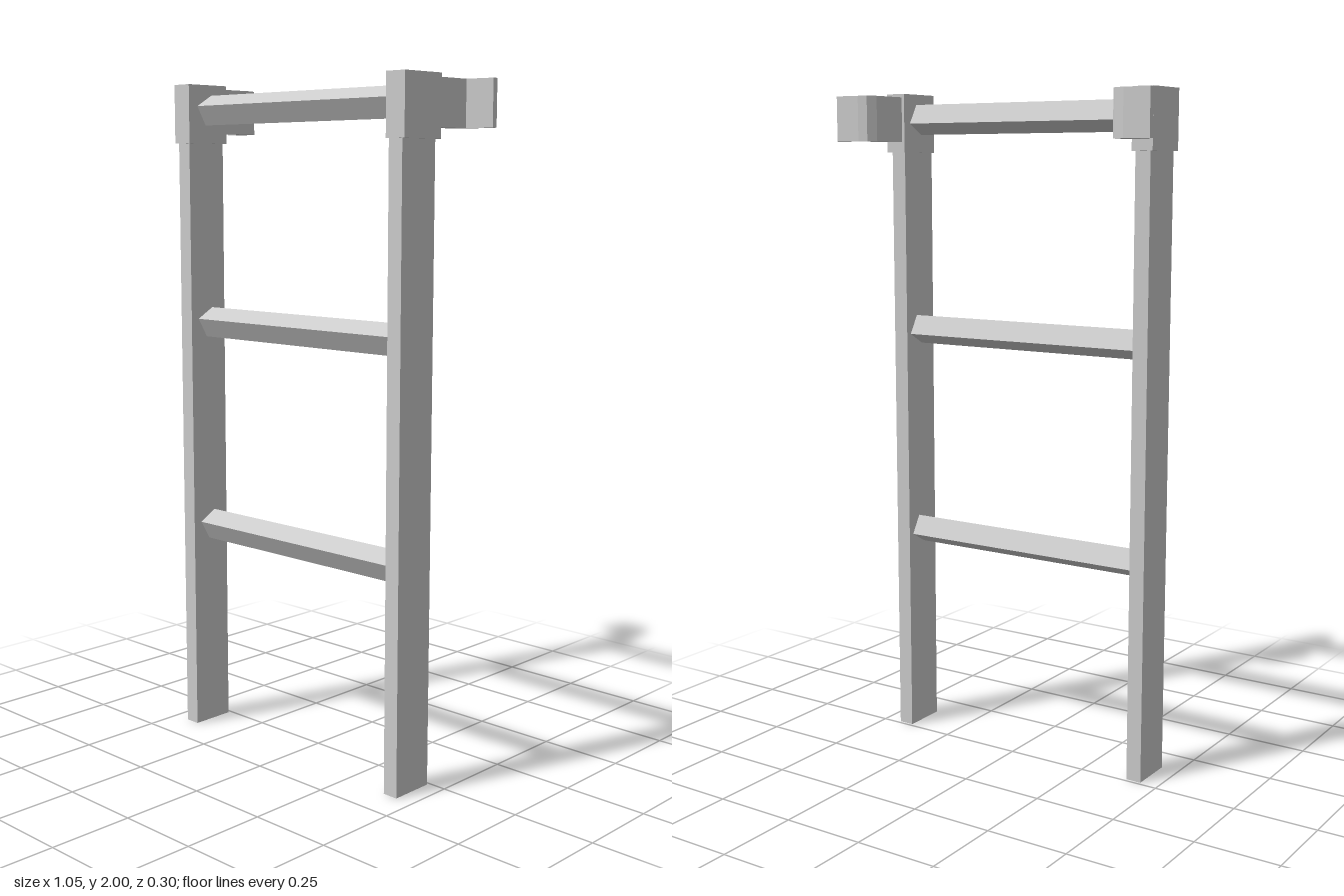
import * as THREE from 'three';

export function createModel() {
  const ladder = new THREE.Group();
  ladder.name = 'hookLadder';
  const material = new THREE.MeshStandardMaterial({ color: 0xcccccc, flatShading: true });

  const add = (name, geometry, x, y, z) => {
    const mesh = new THREE.Mesh(geometry, material);
    mesh.name = name;
    mesh.position.set(x, y, z);
    ladder.add(mesh);
    return mesh;
  };

  // Hook outline seen from above, as [x, distance behind the cap]
  const hookOutline = [
    [0.4, -0.01], [0.445, -0.01], [0.445, 0.12], [0.527, 0.133],
    [0.527, 0.15], [0.447, 0.15], [0.418, 0.144], [0.4, 0.12],
  ];

  for (const [side, s] of [['left', 1], ['right', -1]]) {
    // Upright rail and the thicker cap on its top end
    add(side + 'Rail', new THREE.BoxGeometry(0.047, 1.9, 0.135), s * 0.421, 0.95, 0.0775);
    add(side + 'Cap', new THREE.BoxGeometry(0.065, 0.173, 0.15), s * 0.4235, 1.9135, 0.075);

    // Hook that reaches back and bends outward
    const shape = new THREE.Shape(hookOutline.map(([x, d]) => new THREE.Vector2(s * x, d)));
    const hook = new THREE.ExtrudeGeometry(shape, { depth: 0.132, bevelEnabled: false });
    hook.rotateX(-Math.PI / 2);
    add(side + 'Hook', hook, 0, 1.858, 0);
  }

  // Square rungs, tilted forward between the rails
  [0.645, 1.285, 1.925].forEach((y, i) => {
    const rung = add('rung' + (i + 1), new THREE.BoxGeometry(0.81, 0.065, 0.065), 0, y, 0.0725);
    rung.rotation.x = Math.PI / 6;
  });

  return ladder;
}
